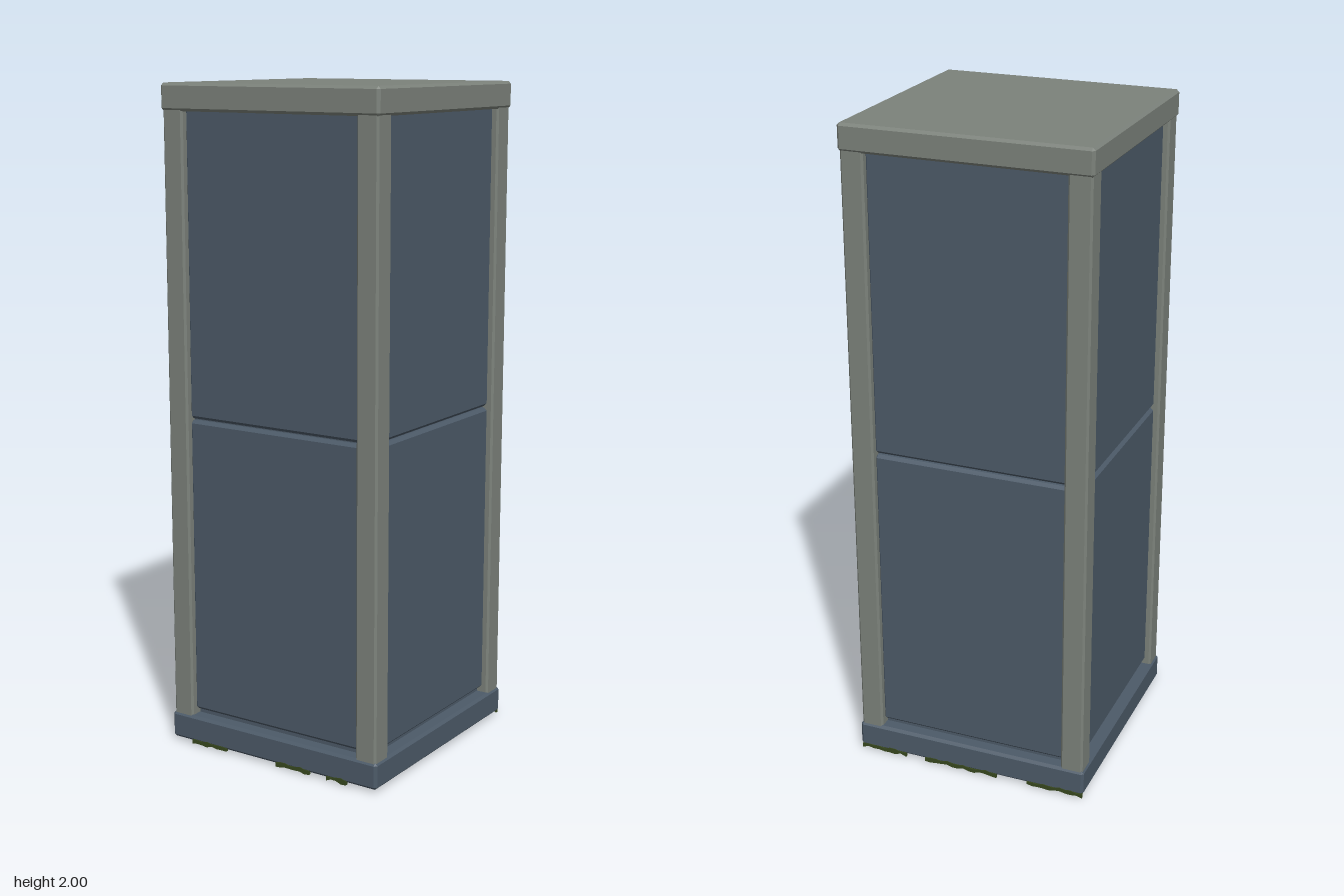
import * as THREE from 'three';
import { ConvexGeometry } from 'three/addons/geometries/ConvexGeometry.js';

const mat = (name, color) => {
  const m = new THREE.MeshStandardMaterial({ color });
  m.name = name;
  return m;
};

// Box with chamfered edges: each corner becomes three points
function chamferBox(w, h, d, c) {
  const pts = [];
  for (const sx of [-1, 1]) for (const sy of [-1, 1]) for (const sz of [-1, 1]) {
    const x = sx * w / 2, y = sy * h / 2, z = sz * d / 2;
    pts.push(
      new THREE.Vector3(x, y - sy * c, z - sz * c),
      new THREE.Vector3(x - sx * c, y, z - sz * c),
      new THREE.Vector3(x - sx * c, y - sy * c, z));
  }
  return new ConvexGeometry(pts);
}

// Ragged strip of moss with a stepped lower edge
function mossStrip(length, seed) {
  const rand = () => (seed = (seed * 16807) % 2147483647) / 2147483647;
  const shape = new THREE.Shape();
  const n = Math.max(4, Math.round(length / 0.018));
  shape.moveTo(-length / 2, 0.014);
  for (let i = 0; i <= n; i++) {
    shape.lineTo(-length / 2 + length * i / n, 0.008 * rand());
  }
  shape.lineTo(length / 2, 0.014);
  for (let i = n - 1; i > 0; i--) {
    shape.lineTo(-length / 2 + length * i / n, 0.012 + 0.008 * rand());
  }
  return new THREE.ExtrudeGeometry(shape, { depth: 0.009, bevelEnabled: false });
}

export function createModel() {
  const group = new THREE.Group();
  const stone = mat('greyStone', 0x7c827b);
  const slate = mat('blueSlate', 0x4c5a68);
  const moss = mat('moss', 0x38481f);

  const add = (name, geometry, material, x, y, z, parent = group) => {
    const mesh = new THREE.Mesh(geometry, material);
    mesh.name = name;
    mesh.position.set(x, y, z);
    parent.add(mesh);
    return mesh;
  };

  // Base and cap slabs
  add('base', chamferBox(0.744, 0.082, 0.744, 0.008), slate, 0, 0.049, 0);
  add('cap', chamferBox(0.744, 0.08, 0.744, 0.008), stone, 0, 1.96, 0);

  // Corner posts
  const post = chamferBox(0.07, 1.85, 0.07, 0.006);
  for (const sx of [-1, 1]) for (const sz of [-1, 1]) {
    add('cornerPost', post, stone, sx * 0.332, 1.005, sz * 0.332);
  }

  // Inner core seen in the joints between panels
  add('core', new THREE.BoxGeometry(0.66, 1.86, 0.66), slate, 0, 1.005, 0);

  // Two recessed panels on each side
  const panel = chamferBox(0.606, 0.91, 0.04, 0.009);
  for (let i = 0; i < 4; i++) {
    const side = new THREE.Group();
    side.name = 'sidePanels';
    side.rotation.y = i * Math.PI / 2;
    add('lowerPanel', panel, slate, 0, 0.56, 0.328, side);
    add('upperPanel', panel, slate, 0, 1.475, 0.328, side);
    group.add(side);
  }

  // Moss along the front and back bottom edges: [centre x, length]
  const front = [[-0.23, 0.13], [0.08, 0.12], [0.235, 0.07]];
  const back = [[0.29, 0.15], [0.03, 0.24], [-0.28, 0.18]];
  front.forEach(([x, l], i) => add('frontMoss', mossStrip(l, 11 + i * 97), moss, x, 0, 0.365));
  back.forEach(([x, l], i) => add('backMoss', mossStrip(l, 53 + i * 71), moss, x, 0, -0.374));

  return group;
}
